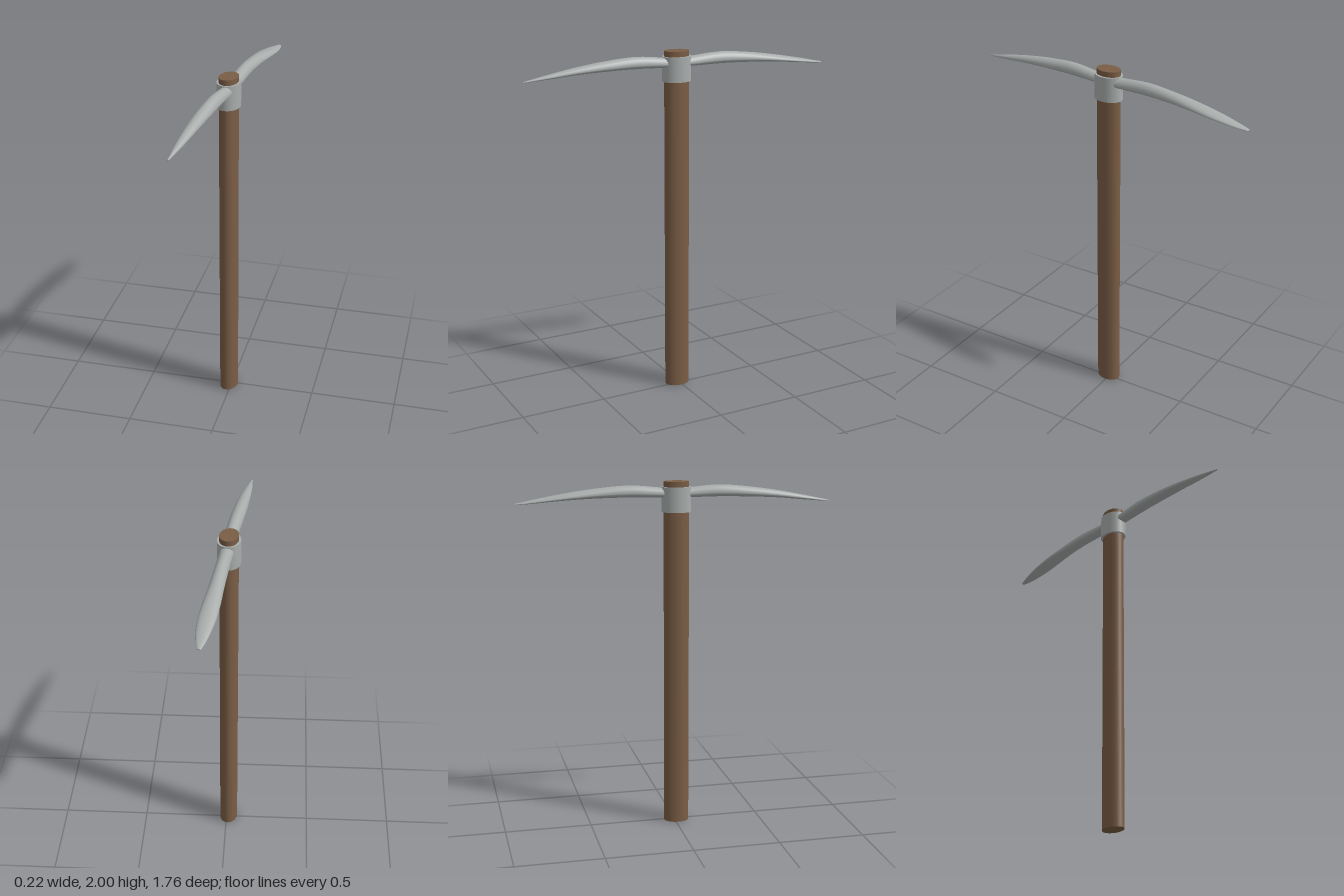
import * as THREE from 'three';

const wood = new THREE.MeshStandardMaterial({ color: 0x7a5d45 });
wood.name = 'brown wood';
const metal = new THREE.MeshStandardMaterial({ color: 0xa8adac });
metal.name = 'grey metal';

const SIDES = 28, STEPS = 28;

// Smooth blade lofted through stations of [z, left x, right x, bottom y, top y]
function blade(name, stations) {
  const centres = new THREE.CatmullRomCurve3(
    stations.map(([z, l, r, b, t]) => new THREE.Vector3((l + r) / 2, (b + t) / 2, z)));
  const sizes = new THREE.CatmullRomCurve3(
    stations.map(([z, l, r, b, t]) => new THREE.Vector3((r - l) / 2, t - b, z)));
  const pos = [], idx = [];
  for (let i = 0; i <= STEPS; i++) {
    const c = centres.getPoint(i / STEPS), s = sizes.getPoint(i / STEPS);
    for (let j = 0; j < SIDES; j++) {
      const a = (j / SIDES) * Math.PI * 2, sn = Math.sin(a);
      // Domed back and a shallower underside
      const y = c.y - s.y * 0.15 + s.y * sn * (sn > 0 ? 0.65 : 0.35);
      pos.push(c.x + s.x * Math.cos(a), y, c.z);
    }
  }
  // Point at the tip
  const end = centres.getPoint(1);
  pos.push(end.x, end.y, end.z);
  const tip = (STEPS + 1) * SIDES;
  const forward = end.z > 0;
  const tri = (a, b, c) => (forward ? idx.push(a, b, c) : idx.push(a, c, b));
  for (let j = 0; j < SIDES; j++) {
    const k = (j + 1) % SIDES;
    for (let i = 0; i < STEPS; i++) {
      const a = i * SIDES + j, b = i * SIDES + k;
      tri(a, b, b + SIDES);
      tri(a, b + SIDES, a + SIDES);
    }
    tri(STEPS * SIDES + j, STEPS * SIDES + k, tip);
  }
  const geo = new THREE.BufferGeometry();
  geo.setAttribute('position', new THREE.Float32BufferAttribute(pos, 3));
  geo.setIndex(idx);
  geo.computeVertexNormals();
  const mesh = new THREE.Mesh(geo, metal);
  mesh.name = name;
  return mesh;
}

// Upright oval cylinder, turned in line with the head
function oval(name, rx, rz, y0, y1, material) {
  const geo = new THREE.CylinderGeometry(1, 1, y1 - y0, 40);
  geo.scale(rx, 1, rz);
  const mesh = new THREE.Mesh(geo, material);
  mesh.name = name;
  mesh.position.set(-0.014, (y0 + y1) / 2, 0.011);
  mesh.rotation.y = -0.11;
  return mesh;
}

export function createModel() {
  const group = new THREE.Group();
  group.name = 'pickaxe';

  group.add(oval('handle', 0.052, 0.072, 0, 2, wood));
  group.add(oval('collar', 0.065, 0.083, 1.83, 1.97, metal));

  // Pointed pick at the front
  group.add(blade('pick', [
    [0.03, -0.048, 0.024, 1.91, 1.96],
    [0.10, -0.053, 0.018, 1.91, 1.967],
    [0.25, -0.074, 0.003, 1.913, 1.979],
    [0.42, -0.094, -0.018, 1.91, 1.966],
    [0.58, -0.106, -0.042, 1.903, 1.944],
    [0.74, -0.113, -0.072, 1.889, 1.914],
    [0.88, -0.112, -0.104, 1.878, 1.884],
  ]));

  // Broader blade at the back
  group.add(blade('broadBlade', [
    [-0.02, -0.046, 0.032, 1.91, 1.96],
    [-0.09, -0.039, 0.037, 1.91, 1.967],
    [-0.25, -0.024, 0.052, 1.913, 1.979],
    [-0.42, -0.009, 0.073, 1.91, 1.966],
    [-0.55, 0.001, 0.094, 1.904, 1.948],
    [-0.66, 0.015, 0.108, 1.896, 1.929],
    [-0.76, 0.037, 0.111, 1.887, 1.91],
    [-0.83, 0.057, 0.106, 1.881, 1.895],
    [-0.88, 0.076, 0.096, 1.878, 1.885],
  ]));

  return group;
}
